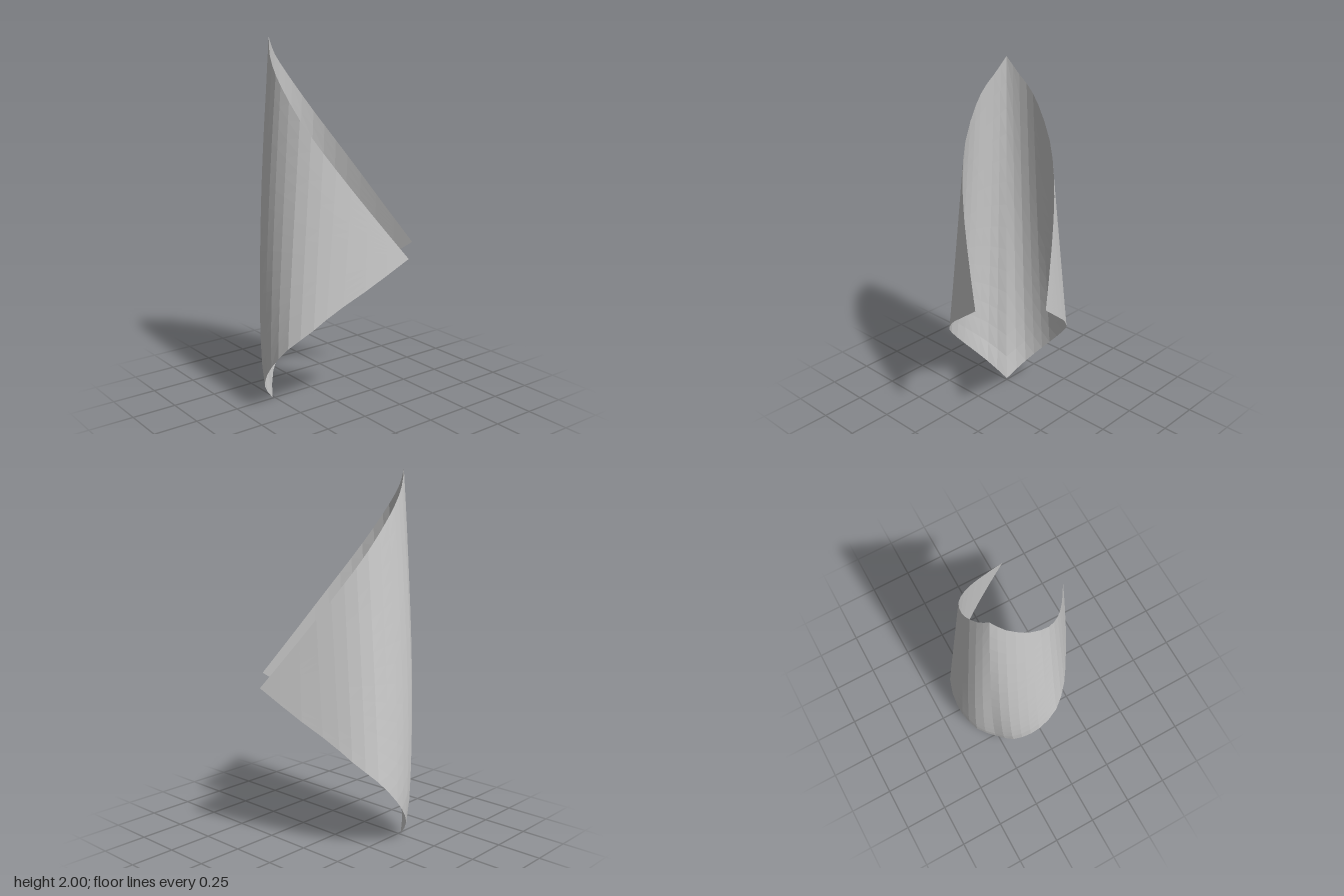
import * as THREE from 'three';

const curve = (pts) => new THREE.CatmullRomCurve3(pts.map((p) => new THREE.Vector3(...p)));

// Edges of one half of the sheet, from the spine to the side tip
const lowerEdge = curve([
  [-0.26, 0, 0.26], [-0.2, 0.1, 0.345], [-0.12, 0.2, 0.39], [-0.03, 0.3, 0.405], [0.08, 0.42, 0.38],
  [0.17, 0.52, 0.3], [0.235, 0.62, 0.2], [0.325, 0.75, 0.03], [0.405, 0.89, -0.155],
]);
const upperEdge = curve([
  [-0.25, 2, 0.25], [-0.2, 1.92, 0.28], [-0.13, 1.84, 0.302], [-0.06, 1.75, 0.3], [0.045, 1.6, 0.267],
  [0.13, 1.46, 0.205], [0.21, 1.31, 0.12], [0.3, 1.12, 0], [0.405, 0.89, -0.155],
]);
const outward = new THREE.Vector3(-1, 0, 1).normalize();

// Point on the sheet: t runs tip to tip (-1..1), s from lower to upper edge (0..1)
function sheetPoint(t, s) {
  const a = Math.abs(t);
  const p = lowerEdge.getPoint(a).lerp(upperEdge.getPoint(a), s);
  // the spine bows outward, most strongly just below the middle
  const k = Math.pow(s, 0.75);
  p.addScaledVector(outward, 0.047 * 4 * k * (1 - k) * Math.exp(-((a / 0.3) ** 2)));
  // the other half mirrors across the diagonal plane through the spine
  return t < 0 ? p.set(-p.z, p.y, -p.x) : p;
}

export function createModel() {
  const group = new THREE.Group();
  group.name = 'curledSheet';

  // Four-cornered sheet rolled around an upright, tapering axis
  const geometry = new THREE.PlaneGeometry(2, 1, 28, 14);
  const pos = geometry.attributes.position;
  for (let i = 0; i < pos.count; i++) {
    const p = sheetPoint(pos.getX(i), pos.getY(i) + 0.5);
    pos.setXYZ(i, p.x, p.y, p.z);
  }
  geometry.computeVertexNormals();

  const sheet = new THREE.Mesh(geometry, new THREE.MeshStandardMaterial({
    color: 0xcccccc, flatShading: true, side: THREE.DoubleSide,
  }));
  sheet.name = 'sheet';
  group.add(sheet);
  return group;
}
